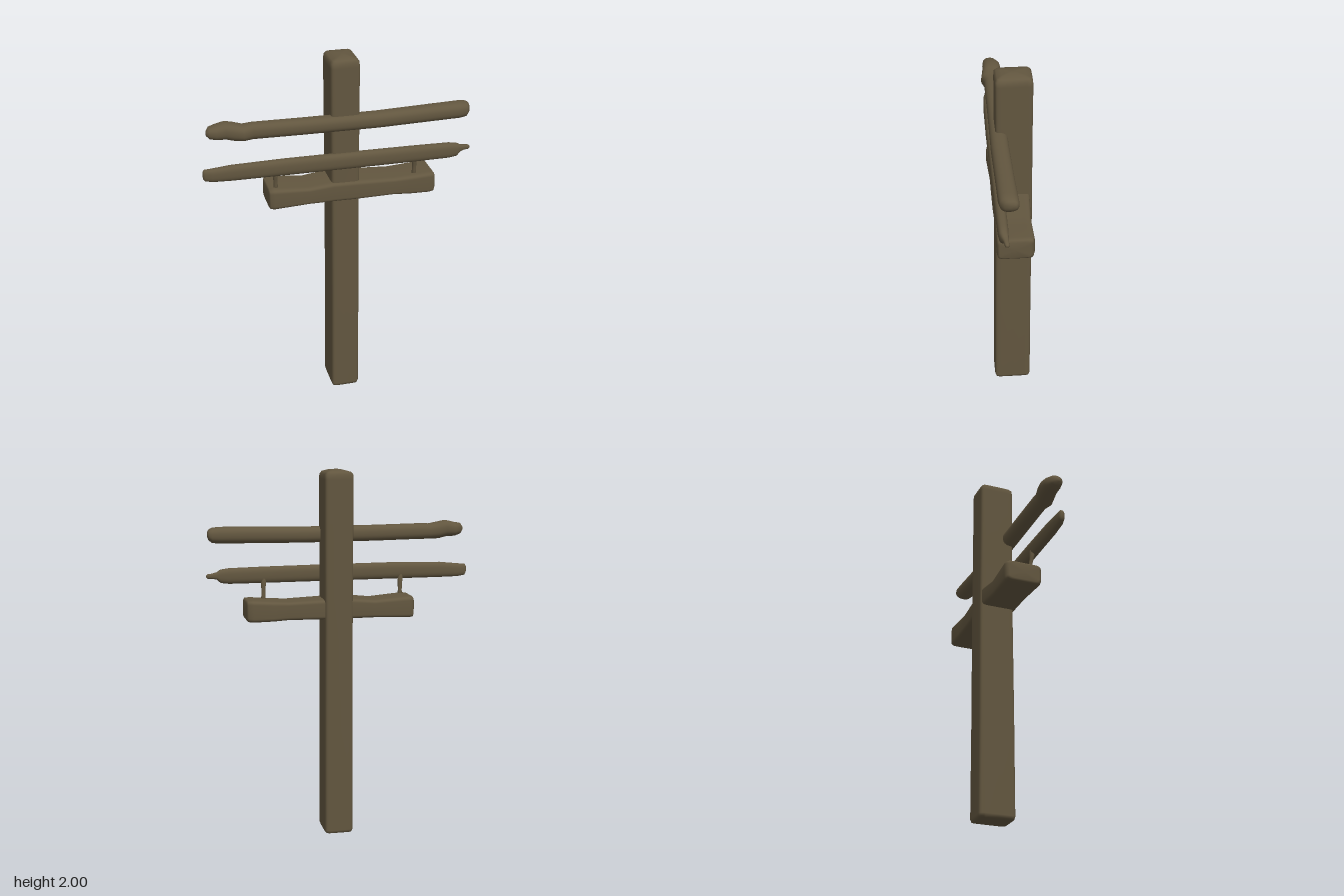
import * as THREE from 'three';

const wood = new THREE.MeshStandardMaterial({ color: 0x62563f });
wood.name = 'weathered wood';

// Lofts rounded cross-sections along an axis.
// Section: [position, centreU, centreV, halfU, halfV]; (u, v) = (y, z) along x, (z, x) along y.
// power 2 is an ellipse, higher is boxier.
function loft(name, axis, sections, power, sides = 32) {
  const pos = [], index = [];
  const add = (t, u, v) => (axis === 'x' ? pos.push(t, u, v) : pos.push(v, t, u));
  const bend = (s) => Math.sign(s) * Math.pow(Math.abs(s), 2 / power);
  for (const [t, cu, cv, hu, hv] of sections) {
    for (let j = 0; j < sides; j++) {
      const a = (j / sides) * Math.PI * 2;
      add(t, cu + hu * bend(Math.cos(a)), cv + hv * bend(Math.sin(a)));
    }
  }
  for (let i = 0; i < sections.length - 1; i++) {
    for (let j = 0; j < sides; j++) {
      const k = (j + 1) % sides;
      const a = i * sides + j, b = i * sides + k;
      index.push(a, b, b + sides, a, b + sides, a + sides);
    }
  }
  // End caps
  const last = sections.length - 1, start = pos.length / 3;
  for (const i of [0, last]) add(sections[i][0], sections[i][1], sections[i][2]);
  for (let j = 0; j < sides; j++) {
    const k = (j + 1) % sides;
    index.push(start, k, j, start + 1, last * sides + j, last * sides + k);
  }
  const geo = new THREE.BufferGeometry();
  geo.setAttribute('position', new THREE.Float32BufferAttribute(pos, 3));
  geo.setIndex(index);
  geo.computeVertexNormals();
  const mesh = new THREE.Mesh(geo, wood);
  mesh.name = name;
  return mesh;
}

export function createModel() {
  const group = new THREE.Group();
  group.name = 'woodenPost';

  // Upright square post with a softly domed top
  group.add(loft('post', 'y', [
    [0, -0.013, 0.032, 0.085, 0.062],
    [0.004, -0.013, 0.032, 0.097, 0.074],
    [0.02, -0.013, 0.032, 0.102, 0.079],
    [0.6, -0.014, 0.032, 0.1, 0.078],
    [1.2, -0.018, 0.031, 0.098, 0.077],
    [1.6, -0.018, 0.03, 0.096, 0.078],
    [1.95, -0.018, 0.029, 0.097, 0.079],
    [1.975, -0.018, 0.029, 0.095, 0.077],
    [1.988, -0.018, 0.029, 0.085, 0.066],
    [1.996, -0.016, 0.03, 0.06, 0.04],
    [2, -0.014, 0.03, 0.025, 0.015],
  ], 9));

  // Upper pole with a knobbly end
  group.add(loft('upperPole', 'x', [
    [-0.7, 1.665, 0.065, 0.012, 0.015],
    [-0.685, 1.665, 0.06, 0.03, 0.035],
    [-0.65, 1.663, 0.053, 0.038, 0.048],
    [-0.6, 1.668, 0.053, 0.045, 0.05],
    [-0.56, 1.659, 0.056, 0.046, 0.052],
    [-0.51, 1.652, 0.066, 0.042, 0.05],
    [-0.46, 1.654, 0.059, 0.043, 0.043],
    [-0.2, 1.65, 0.059, 0.043, 0.044],
    [0.2, 1.648, 0.061, 0.043, 0.047],
    [0.5, 1.653, 0.057, 0.044, 0.048],
    [0.65, 1.655, 0.054, 0.044, 0.05],
    [0.69, 1.655, 0.05, 0.04, 0.047],
    [0.708, 1.658, 0.042, 0.028, 0.034],
    [0.715, 1.66, 0.035, 0.013, 0.018],
  ], 2.4));

  // Middle pole tapering to a small broken tip
  group.add(loft('middlePole', 'x', [
    [-0.728, 1.436, 0.069, 0.02, 0.008],
    [-0.72, 1.434, 0.069, 0.031, 0.017],
    [-0.68, 1.432, 0.072, 0.036, 0.023],
    [-0.58, 1.436, 0.075, 0.042, 0.027],
    [-0.3, 1.438, 0.077, 0.045, 0.029],
    [0.1, 1.436, 0.077, 0.045, 0.029],
    [0.4, 1.434, 0.077, 0.044, 0.029],
    [0.6, 1.432, 0.076, 0.042, 0.027],
    [0.645, 1.432, 0.075, 0.036, 0.024],
    [0.665, 1.435, 0.07, 0.02, 0.018],
    [0.69, 1.435, 0.066, 0.014, 0.013],
    [0.715, 1.434, 0.064, 0.012, 0.011],
    [0.722, 1.434, 0.063, 0.006, 0.006],
  ], 2.6));

  // Thick, slightly wavy lower crossbeam
  group.add(loft('lowerBeam', 'x', [
    [-0.388, 1.257, 0, 0.046, 0.085],
    [-0.382, 1.257, 0, 0.056, 0.098],
    [-0.36, 1.257, -0.002, 0.059, 0.104],
    [-0.17, 1.252, -0.002, 0.048, 0.096],
    [-0.04, 1.259, -0.006, 0.055, 0.102],
    [0.1, 1.257, -0.002, 0.054, 0.099],
    [0.3, 1.253, 0.002, 0.049, 0.092],
    [0.38, 1.253, 0.004, 0.054, 0.095],
    [0.49, 1.256, 0.004, 0.059, 0.097],
    [0.517, 1.257, 0.006, 0.057, 0.092],
    [0.525, 1.257, 0.008, 0.046, 0.08],
  ], 7));

  // Thin pegs joining the middle pole to the beam
  for (const [name, x] of [['rightPeg', -0.347], ['leftPeg', 0.415]]) {
    group.add(loft(name, 'y', [
      [1.29, 0.05, x + 0.002, 0.013, 0.014],
      [1.33, 0.053, x + 0.002, 0.01, 0.011],
      [1.37, 0.06, x, 0.011, 0.012],
      [1.42, 0.066, x - 0.003, 0.017, 0.018],
    ], 2, 16));
  }
  return group;
}
